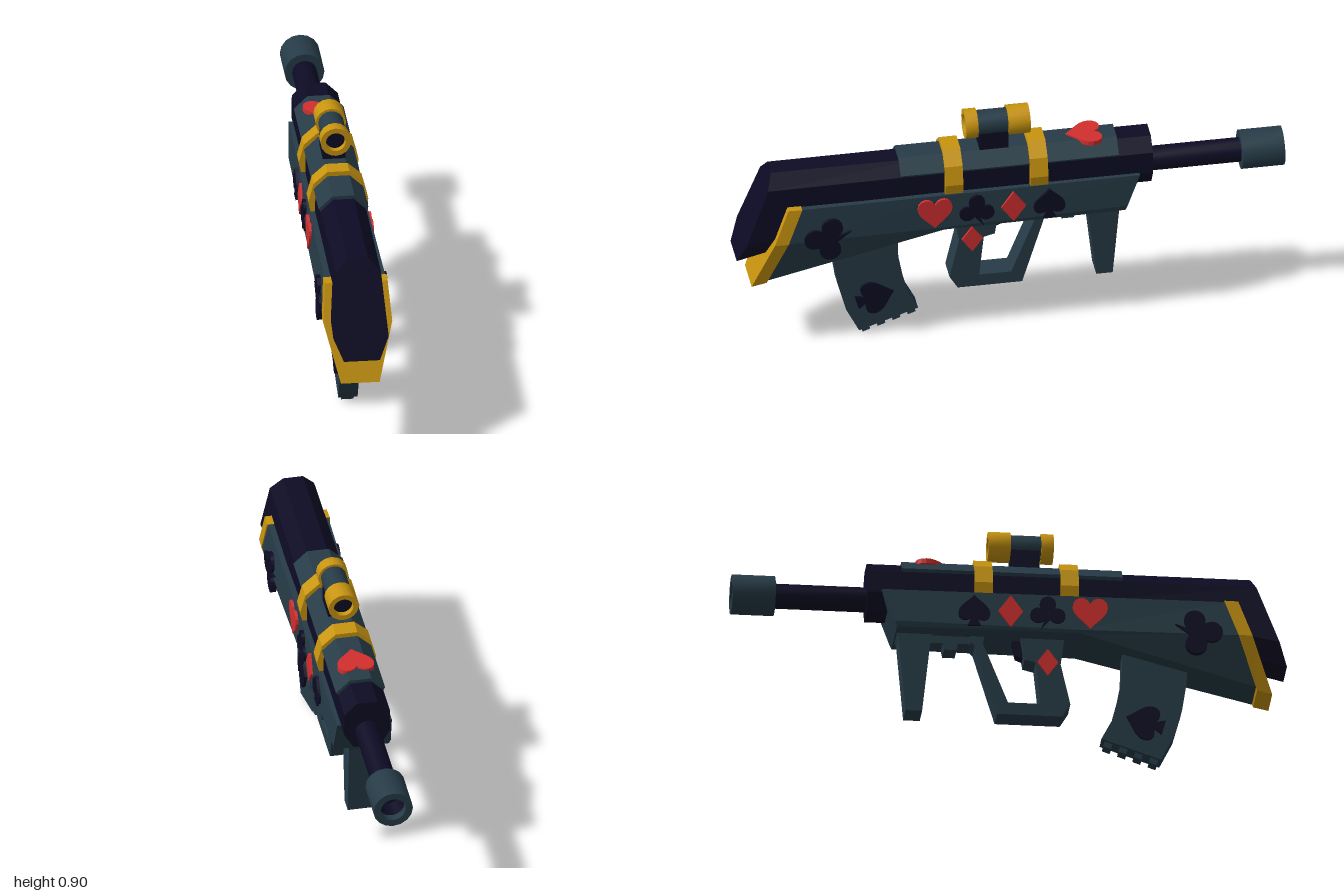
import * as THREE from 'three';
import { toCreasedNormals } from 'three/addons/utils/BufferGeometryUtils.js';

const paint = (name, color) => Object.assign(new THREE.MeshStandardMaterial({ color }), { name });

export function createModel() {
  const group = new THREE.Group();
  const teal = paint('slate teal', 0x263b47);
  const navy = paint('dark navy', 0x0d0b24);
  const gold = paint('gold', 0xc8940f);
  const red = paint('red', 0xd32f2f);

  function add(name, geometry, material) {
    const mesh = new THREE.Mesh(geometry, material);
    mesh.name = name;
    group.add(mesh);
    return mesh;
  }

  // Solid through mirrored cross-sections [z, lean, half outline from top to bottom], back to front
  function loft(name, material, sections) {
    const loops = sections.map(([z, lean, half]) => {
      const at = (s) => ([x, y]) => [s * x, y, z + (0.625 - y) * lean];
      return [...half.map(at(1)), ...[...half].reverse().map(at(-1))];
    });
    const n = loops[0].length, out = [];
    const tri = (...p) => p.forEach((v) => out.push(...v));
    for (let s = 0; s + 1 < loops.length; s++) {
      for (let i = 0; i < n; i++) {
        const a = loops[s][i], b = loops[s][(i + 1) % n];
        const c = loops[s + 1][(i + 1) % n], d = loops[s + 1][i];
        tri(a, d, c);
        tri(a, c, b);
      }
    }
    const first = loops[0], last = loops[loops.length - 1];
    for (let i = 1; i + 1 < n; i++) {
      tri(first[0], first[i], first[i + 1]);
      tri(last[0], last[i + 1], last[i]);
    }
    const g = new THREE.BufferGeometry();
    g.setAttribute('position', new THREE.Float32BufferAttribute(out, 3));
    g.computeVertexNormals();
    return add(name, g, material);
  }

  // Side outline in (z, y), extruded across x
  const toShape = (pts) => new THREE.Shape(pts.map(([z, y]) => new THREE.Vector2(z, y)));
  function slab(name, material, shape, width, x = 0) {
    const g = new THREE.ExtrudeGeometry(shape, { depth: width, bevelEnabled: false, curveSegments: 6 });
    g.rotateY(-Math.PI / 2).translate(x + width / 2, 0, 0);
    return add(name, g, material);
  }

  // Turned part around a line along z; profile points are [radius, -z]
  function turned(name, material, y, profile) {
    const g = new THREE.LatheGeometry(profile.map(([r, t]) => new THREE.Vector2(r, t)), 16);
    g.rotateX(-Math.PI / 2).translate(0, y, 0);
    return add(name, toCreasedNormals(g, 0.6), material);
  }

  // Receiver and stock core
  const core = [[0.038, 0.75], [0.083, 0.705], [0.085, 0.62], [0.05, 0.56]];
  loft('receiver', navy, [
    [-0.515, 0, core],
    [0.3, 0, core],
    [0.916, 0.37, [[0.036, 0.75], [0.081, 0.7], [0.1, 0.48], [0.065, 0.4]]],
  ]);

  // Lower body widening towards the stock, with its gold end band
  loft('lowerBody', teal, [
    [-0.465, 0.37, [[0.1, 0.625], [0.105, 0.5], [0.1, 0.48]]],
    [0.196, 0.37, [[0.105, 0.625], [0.112, 0.49], [0.108, 0.478]]],
    [0.775, 0.37, [[0.11, 0.625], [0.122, 0.49], [0.075, 0.308]]],
  ]);
  loft('stockBand', gold, [
    [0.77, 0.37, [[0.115, 0.628], [0.125, 0.49], [0.073, 0.298]]],
    [0.82, 0.37, [[0.113, 0.628], [0.124, 0.49], [0.07, 0.285]]],
  ]);

  // Top cover and gold clasps
  const cover = [[0.04, 0.763], [0.09, 0.715], [0.08, 0.7]];
  loft('topCover', teal, [[-0.39, 0, cover], [0.405, 0, cover]]);
  const clasp = [[0.04, 0.78], [0.09, 0.735], [0.108, 0.665], [0.1, 0.622]];
  for (const z of [-0.13, 0.18]) loft('clasp', gold, [[z, 0, clasp], [z + 0.065, 0, clasp]]);

  // Barrel and hollow muzzle
  turned('barrel', navy, 0.625, [[0.045, 0.45], [0.045, 0.86]]);
  turned('muzzle', teal, 0.625, [[0, 0.845], [0.072, 0.845], [0.072, 1], [0.045, 1]]);
  // Recess inside the muzzle
  const muzzle = group.children[group.children.length - 1];
  muzzle.geometry.dispose();
  group.remove(muzzle);
  turned('muzzle', teal, 0.625, [[0.04, 0.845], [0.072, 0.845], [0.072, 1], [0.046, 1], [0.046, 0.97]]);
  turned('bore', navy, 0.625, [[0.046, 0.97], [0.045, 0.9], [0, 0.9]]);

  // Scope
  const mount = add('scopeMount', new THREE.BoxGeometry(0.082, 0.09, 0.105), navy);
  mount.position.set(0, 0.785, 0.057);
  turned('scopeTube', teal, 0.855, [[0.046, -0.12], [0.046, 0]]);
  turned('rearRing', gold, 0.855, [[0.034, -0.13], [0.036, -0.16], [0.055, -0.16], [0.055, -0.115], [0.03, -0.115]]);
  turned('rearLens', navy, 0.855, [[0, -0.138], [0.036, -0.138]]);
  turned('frontRing', gold, 0.855, [[0.03, -0.005], [0.055, -0.005], [0.055, 0.075], [0.036, 0.075], [0.034, 0.04]]);
  turned('frontLens', navy, 0.855, [[0.036, 0.055], [0, 0.055]]);

  // Grip with guard, trigger, underside rail and foregrip
  const grip = toShape([[0.2, 0.5], [0.185, 0.38], [0.22, 0.225], [0.19, 0.175], [-0.045, 0.175],
    [-0.125, 0.44], [-0.14, 0.455], [-0.14, 0.5]]);
  grip.holes.push(toShape([[0.112, 0.222], [0.095, 0.385], [0.055, 0.395], [0.04, 0.485],
    [-0.09, 0.485], [-0.095, 0.45], [-0.005, 0.222]]));
  slab('gripAndGuard', teal, grip, 0.088);
  slab('trigger', navy, toShape([[0.05, 0.49], [0.05, 0.41], [0.025, 0.42], [0.01, 0.49]]), 0.04);
  slab('underRail', teal, toShape([[-0.12, 0.49], [-0.13, 0.45], [-0.185, 0.45], [-0.19, 0.425],
    [-0.235, 0.425], [-0.24, 0.45], [-0.3, 0.45], [-0.3, 0.49]]), 0.07);
  slab('foregrip', teal, toShape([[-0.27, 0.5], [-0.285, 0.45], [-0.315, 0.175], [-0.375, 0.175],
    [-0.4, 0.46], [-0.42, 0.53]]), 0.088);

  // Curved magazine with ridged foot
  slab('magazine', teal, toShape([[0.645, 0.42], [0.64, 0.33], [0.625, 0.23], [0.595, 0.12], [0.548, 0.025],
    [0.333, 0.098], [0.37, 0.17], [0.39, 0.25], [0.405, 0.33], [0.41, 0.47]]), 0.07);
  for (let i = 0; i < 4; i++) {
    const z = 0.54 - i * 0.055, y = 0.03 + i * 0.0187;
    slab('magazineRidge', teal, toShape([[z, y], [z - 0.007, y - 0.021], [z - 0.035, y - 0.011], [z - 0.028, y + 0.01]]), 0.045);
  }

  // Card suit outlines, one unit tall
  const heart = new THREE.Shape();
  heart.moveTo(0, -0.5);
  heart.bezierCurveTo(0.2, -0.25, 0.52, -0.08, 0.52, 0.2);
  heart.bezierCurveTo(0.52, 0.52, 0.12, 0.6, 0, 0.3);
  heart.bezierCurveTo(-0.12, 0.6, -0.52, 0.52, -0.52, 0.2);
  heart.bezierCurveTo(-0.52, -0.08, -0.2, -0.25, 0, -0.5);
  const diamond = toShape([[0, -0.5], [0.36, 0], [0, 0.5], [-0.36, 0]]);
  const spade = new THREE.Shape();
  spade.moveTo(0, 0.5);
  spade.bezierCurveTo(0.18, 0.28, 0.48, 0.15, 0.48, -0.1);
  spade.bezierCurveTo(0.48, -0.36, 0.18, -0.38, 0.07, -0.22);
  spade.lineTo(0.2, -0.5);
  spade.lineTo(-0.2, -0.5);
  spade.lineTo(-0.07, -0.22);
  spade.bezierCurveTo(-0.18, -0.38, -0.48, -0.36, -0.48, -0.1);
  spade.bezierCurveTo(-0.48, 0.15, -0.18, 0.28, 0, 0.5);
  const club = new THREE.Shape();
  const rad = Math.PI / 180;
  club.moveTo(0.2, -0.5);
  club.absarc(0.27, -0.08, 0.23, -150 * rad, 110 * rad);
  club.absarc(0, 0.27, 0.23, -50 * rad, 230 * rad);
  club.absarc(-0.27, -0.08, 0.23, 70 * rad, 330 * rad);
  club.lineTo(-0.2, -0.5);

  // Raised suits on both sides: shape, colour, z, y, size, turn, outer x
  const emblems = [
    ['heart', heart, red, 0.285, 0.555, 0.122, 0, 0.117],
    ['club', club, navy, 0.132, 0.55, 0.128, 0, 0.117],
    ['diamond', diamond, red, -0.002, 0.552, 0.125, 0, 0.115],
    ['spade', spade, navy, -0.133, 0.55, 0.12, 0, 0.115],
    ['stockClub', club, navy, 0.678, 0.495, 0.17, -1.5, 0.127],
    ['magazineSpade', spade, navy, 0.49, 0.168, 0.14, 1.3, 0.044],
    ['gripDiamond', diamond, red, 0.138, 0.385, 0.105, 0, 0.053],
  ];
  for (const [name, shape, material, z, y, size, turn, outer] of emblems) {
    const outline = new THREE.Shape(shape.getPoints(6).map((p) =>
      p.rotateAround(new THREE.Vector2(), turn).multiplyScalar(size).add(new THREE.Vector2(z, y))));
    for (const side of [-1, 1]) slab(name, material, outline, 0.02, side * (outer - 0.01));
  }

  // Heart on the top cover
  const topHeart = new THREE.ExtrudeGeometry(heart, { depth: 0.018, bevelEnabled: false, curveSegments: 6 });
  topHeart.scale(0.13, 0.13, 1).rotateX(-Math.PI / 2).translate(0, 0.751, -0.275);
  add('topHeart', topHeart, red);

  return group;
}
